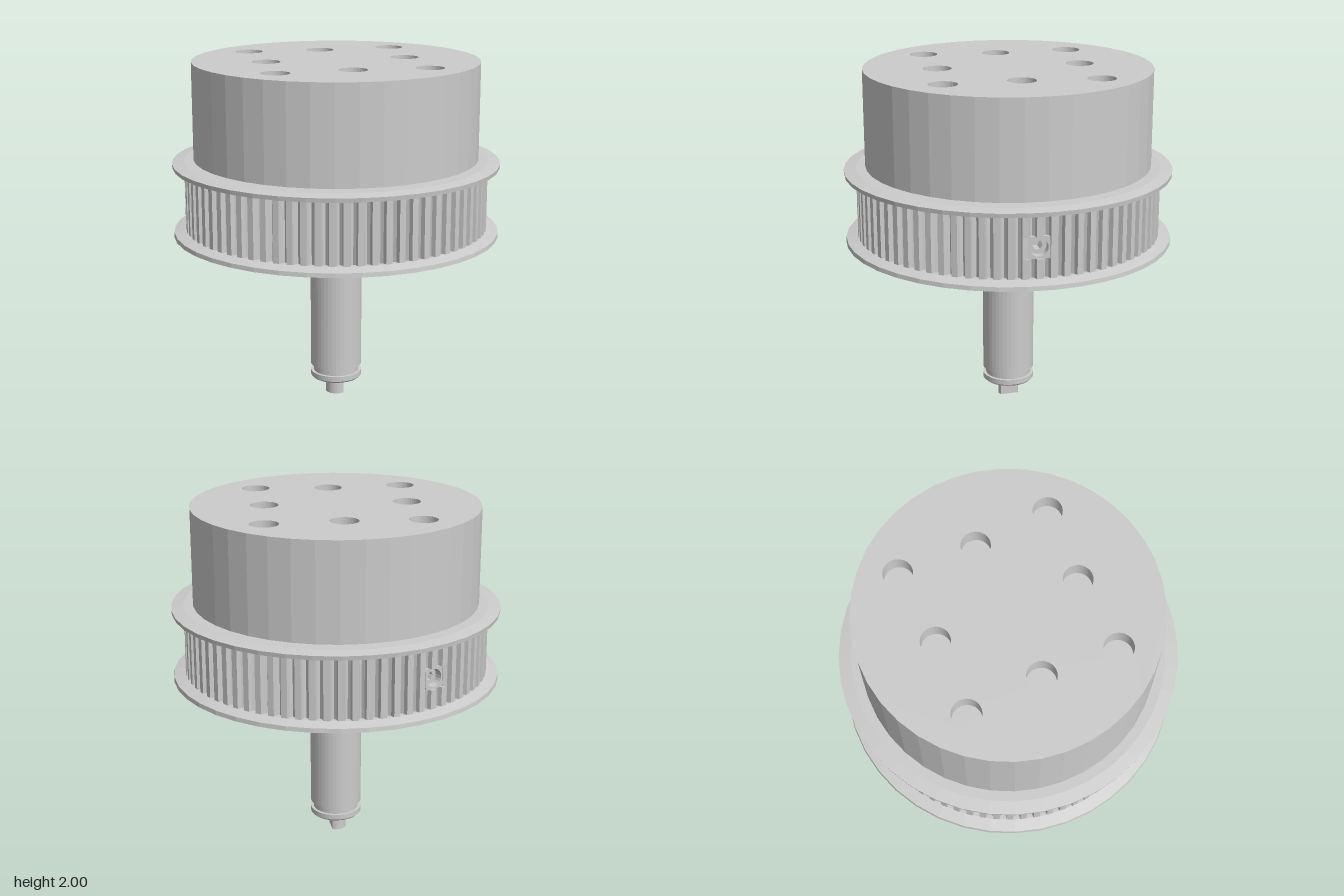
import * as THREE from 'three';

const material = new THREE.MeshStandardMaterial({ color: 0xcccccc, flatShading: true, side: THREE.DoubleSide });
const SEG = 40, TEETH = 72;
const SCREW_ANGLES = [-4, 117].map(THREE.MathUtils.degToRad);
const SCREW_Y = 1.21, PAD = 0.06;

function mesh(name, geometry, parent) {
  const m = new THREE.Mesh(geometry, material);
  m.name = name;
  parent.add(m);
  return m;
}

// Extrudes a plan outline upward from y0 to y1
function slab(shape, y0, y1) {
  const g = new THREE.ExtrudeGeometry(shape, { depth: y1 - y0, bevelEnabled: false, curveSegments: SEG / 2 });
  return g.rotateX(-Math.PI / 2).translate(0, y0, 0);
}

function disc(r, holes = [], holeRadius = 0) {
  const s = new THREE.Shape().absarc(0, 0, r, 0, Math.PI * 2);
  for (const [x, z] of holes) s.holes.push(new THREE.Path().absarc(x, -z, holeRadius, 0, Math.PI * 2, true));
  return s;
}

function lathe(points) {
  return new THREE.LatheGeometry(points.map(([r, y]) => new THREE.Vector2(r, y)), SEG);
}

// Toothed ring outline; notched leaves pockets for the set screws
function toothShape(notched) {
  const tooth = [[0, 0.87], [0.45, 0.87], [0.54, 0.845], [0.72, 0.832], [0.91, 0.845]];
  const half = PAD / 0.86;
  const pts = [];
  for (let i = 0; i < TEETH; i++) {
    for (const [f, r] of tooth) pts.push([((i + f) / TEETH) * Math.PI * 2, r]);
  }
  let outline = pts;
  if (notched) {
    for (const screw of SCREW_ANGLES) {
      const a = (screw + Math.PI * 2) % (Math.PI * 2);
      outline = outline.filter(([t]) => Math.abs(t - a) > half);
      outline.push([a - half, 0.86], [a - half + 0.001, 0.74], [a + half - 0.001, 0.74], [a + half, 0.86]);
    }
    outline.sort((p, q) => p[0] - q[0]);
  }
  const s = new THREE.Shape(outline.map(([t, r]) => new THREE.Vector2(r * Math.cos(t), r * Math.sin(t))));
  s.holes.push(new THREE.Path().absarc(0, 0, 0.7, 0, Math.PI * 2, true));
  return s;
}

export function createModel() {
  const model = new THREE.Group();

  // Drum with a drilled top plate
  const topHoles = [[-0.39, -0.46], [0.03, -0.41], [0.46, -0.4], [-0.4, -0.03],
    [0.4, 0.03], [-0.46, 0.39], [-0.03, 0.4], [0.39, 0.46]];
  mesh('drumBody', slab(disc(0.817), 1.445, 1.9), model);
  mesh('drumTopPlate', slab(disc(0.817, topHoles, 0.08), 1.9, 2), model);

  // Pulley hub with four holes drilled from below
  const hubHoles = [0, 1, 2, 3].map((i) => {
    const a = 0.04 + (i * Math.PI) / 2;
    return [0.58 * Math.cos(a), 0.58 * Math.sin(a)];
  });
  const pulley = new THREE.Group();
  pulley.name = 'pulley';
  model.add(pulley);
  mesh('hub', slab(disc(0.71, hubHoles, 0.075), 0.985, 1.385), pulley);
  mesh('hubTop', slab(disc(0.71), 1.385, 1.445), pulley);

  // Toothed ring in three layers, the middle one pocketed
  mesh('lowerTeeth', slab(toothShape(false), 1.03, SCREW_Y - PAD), pulley);
  mesh('middleTeeth', slab(toothShape(true), SCREW_Y - PAD, SCREW_Y + PAD), pulley);
  mesh('upperTeeth', slab(toothShape(false), SCREW_Y + PAD, 1.395), pulley);

  // Flared belt flanges, mirrored about the ring's mid-height
  const flange = [[0.7, 0.18], [0.87, 0.172], [0.937, 0.188], [0.94, 0.212], [0.87, 0.222], [0.7, 0.222], [0.7, 0.18]];
  mesh('upperFlange', lathe(flange.map(([r, y]) => [r, 1.213 + y])), pulley);
  mesh('lowerFlange', lathe(flange.map(([r, y]) => [r, 1.213 - y]).reverse()), pulley);

  // Set screws sunk in round holes
  for (const a of SCREW_ANGLES) {
    const g = new THREE.Group();
    g.name = 'setScrew';
    g.position.y = SCREW_Y;
    g.rotation.y = a + Math.PI / 2;
    pulley.add(g);
    const p = PAD + 0.001;
    const pad = new THREE.Shape([[-p, -p], [p, -p], [p, p], [-p, p]].map(([x, y]) => new THREE.Vector2(x, y)));
    pad.holes.push(new THREE.Path().absarc(0, 0, 0.05, 0, Math.PI * 2, true));
    const screw = new THREE.Shape().absarc(0, 0, 0.05, 0, Math.PI * 2);
    const hex = [0, 1, 2, 3, 4, 5].map((i) => new THREE.Vector2(0.028 * Math.cos(i * Math.PI / 3), 0.028 * Math.sin(i * Math.PI / 3)));
    screw.holes.push(new THREE.Path(hex));
    const options = { bevelEnabled: false, curveSegments: 10 };
    mesh('screwHole', new THREE.ExtrudeGeometry(pad, { ...options, depth: 0.125 }).translate(0, 0, 0.73), g);
    mesh('socketScrew', new THREE.ExtrudeGeometry(screw, { ...options, depth: 0.08 }).translate(0, 0, 0.73), g);
  }

  // Stepped bearing collar with a ring groove underneath
  mesh('bearingCollar', lathe([
    [0.31, 0.99], [0.31, 0.94], [0.36, 0.94], [0.36, 0.905], [0.29, 0.905], [0.27, 0.93],
    [0.23, 0.93], [0.21, 0.91], [0.18, 0.91], [0.18, 0.94], [0.14, 0.94],
  ].reverse()), model);

  // Shaft with retaining groove and chamfered end
  mesh('shaft', lathe([
    [0, 0.1], [0.14, 0.1], [0.15, 0.11], [0.15, 0.14], [0.133, 0.14], [0.133, 0.18],
    [0.15, 0.18], [0.15, 0.99], [0, 0.99],
  ]), model);

  // Drive stub with one flat side
  const flat = Math.acos(0.03 / 0.06);
  const stub = new THREE.Shape().absarc(0, 0, 0.06, flat, Math.PI * 2 - flat);
  stub.closePath();
  mesh('driveStub', slab(stub, 0, 0.11), model);

  return model;
}
